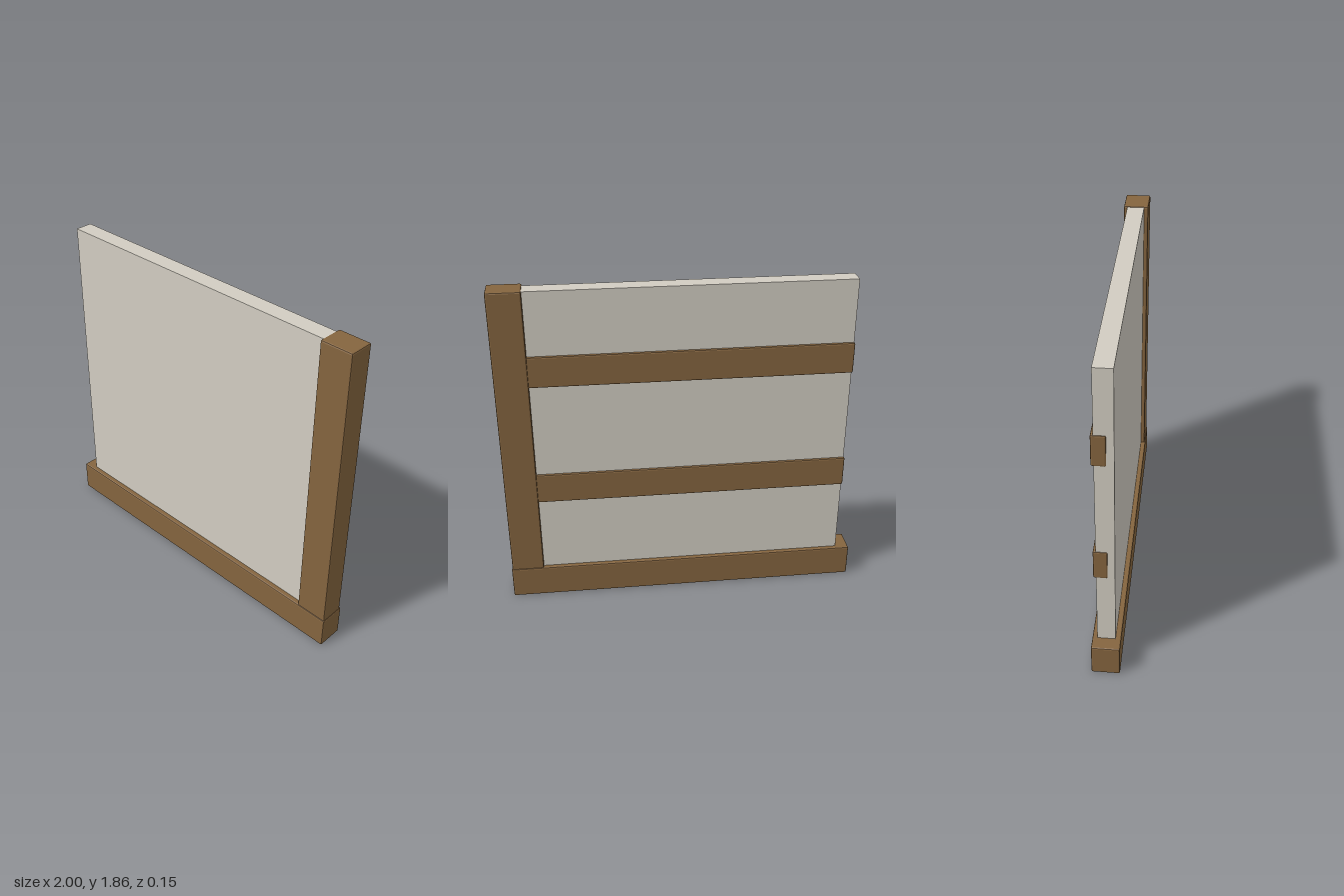
import * as THREE from 'three';
import { RoundedBoxGeometry } from 'three/addons/geometries/RoundedBoxGeometry.js';

const wood = new THREE.MeshStandardMaterial({ color: 0x85653f, flatShading: true });
const plaster = new THREE.MeshStandardMaterial({ color: 0xd2cdc2 });

// Box given by its min and max corners, with an optional small chamfer
function block(name, [x0, y0, z0], [x1, y1, z1], material, chamfer = 0) {
  const size = [x1 - x0, y1 - y0, z1 - z0];
  const geometry = chamfer
    ? new RoundedBoxGeometry(...size, 1, chamfer)
    : new THREE.BoxGeometry(...size);
  const mesh = new THREE.Mesh(geometry, material);
  mesh.name = name;
  mesh.position.set((x0 + x1) / 2, (y0 + y1) / 2, (z0 + z1) / 2);
  return mesh;
}

export function createModel() {
  const wall = new THREE.Group();
  wall.name = 'timberWall';

  // Timber frame: ground sill and one corner post
  wall.add(block('sill', [-1, 0, -0.076], [1, 0.184, 0.076], wood, 0.008));
  wall.add(block('post', [0.815, 0.174, -0.07], [0.996, 1.86, 0.07], wood, 0.008));

  // Plain infill panel
  wall.add(block('panel', [-0.924, 0.17, -0.05], [0.83, 1.855, 0.046], plaster));

  // Horizontal rails let into the back of the panel
  for (const y of [0.71, 1.415]) {
    wall.add(block('rail', [-0.929, y - 0.087, -0.064], [0.83, y + 0.087, 0.01], wood, 0.008));
  }
  return wall;
}
